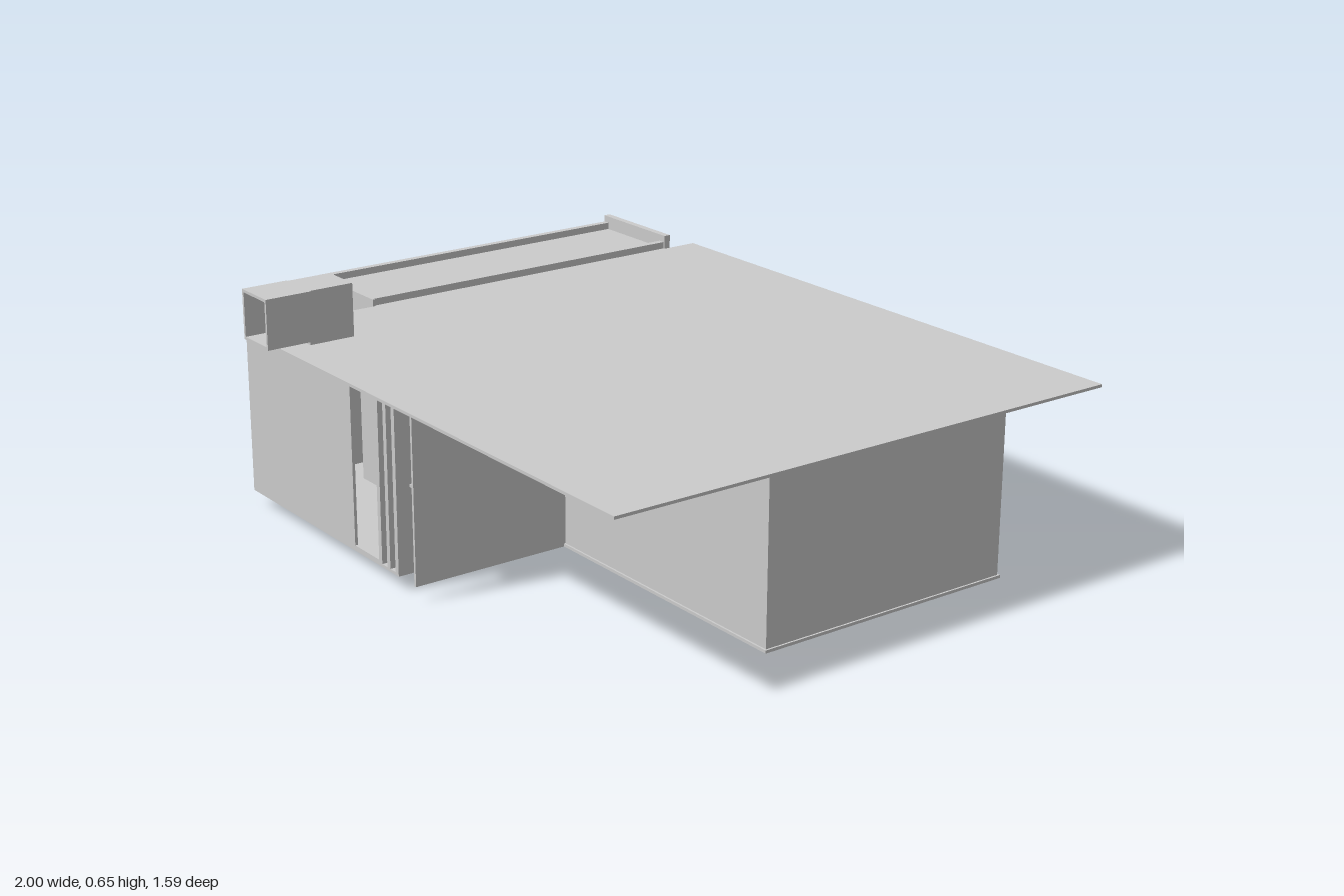
import * as THREE from 'three';

const material = new THREE.MeshStandardMaterial({ color: 0xcccccc, side: THREE.DoubleSide });
const T = 0.008; // thickness of walls and slabs

export function createModel() {
  const house = new THREE.Group();
  house.name = 'flatRoofHouse';

  // Box given by its extents on each axis
  function box(name, [x0, x1], [y0, y1], [z0, z1], parent = house) {
    const mesh = new THREE.Mesh(new THREE.BoxGeometry(x1 - x0, y1 - y0, z1 - z0), material);
    mesh.position.set((x0 + x1) / 2, (y0 + y1) / 2, (z0 + z1) / 2);
    mesh.name = name;
    parent.add(mesh);
    return mesh;
  }
  function group(name) {
    const g = new THREE.Group();
    g.name = name;
    house.add(g);
    return g;
  }

  const wallY = [0.04, 0.495];

  // Thin flat roof over everything
  box('mainRoof', [-0.69, 1], [0.5 - T, 0.5], [-0.8, 0.74]);

  // Long wing
  const wing = group('longWing');
  box('wingFloor', [-0.69, 0.075], [0.04, 0.04 + T], [-0.6, 0.74], wing);
  box('wingOuterWall', [-0.69, -0.69 + T], wallY, [-0.775, 0.74], wing);
  box('wingInnerWall', [0.075 - T, 0.075], wallY, [-0.775, 0.72], wing);
  box('wingBackWall', [-0.69, 0.075], wallY, [-0.775, -0.775 + T], wing);
  box('wingRecessWall', [-0.69, 0.075], wallY, [-0.6, -0.6 + T], wing);
  box('wingFrontWall', [-0.69, -0.14], wallY, [0.74 - T, 0.74], wing);

  // Entrance bay: glazing above a low opening, then narrow glazing between posts
  const entrance = group('entranceBay');
  box('upperGlazing', [-0.14, -0.02], [0.235, 0.495], [0.7, 0.7 + T], entrance);
  box('sideGlazing', [-0.02, 0.075], wallY, [0.71, 0.71 + T], entrance);
  box('threshold', [-0.14, -0.02], [0.04, 0.055], [0.7, 0.74], entrance);
  for (const x of [-0.02, 0.02, 0.06]) {
    box('entrancePost', [x, x + 0.015], wallY, [0.71, 0.74], entrance);
  }

  // Cross wall and the passage beside it
  box('crossWall', [0.15, 0.15 + T], wallY, [-0.775, 0.74]);
  box('passageSlab', [0.075, 0.15], [0.275, 0.275 + T], [-0.72, 0.7]);
  box('foundationStrip', [0.065, 0.073], [0, 0.05], [-0.48, 0.28]);

  // Wide wing
  const wide = group('wideWing');
  box('wideFloor', [0.06, 0.985], [0.04, 0.04 + T], [-0.485, 0.285], wide);
  box('wideFrontWall', [0.15, 0.98], wallY, [0.28 - T, 0.28], wide);
  box('wideBackWall', [0.15, 0.98], wallY, [-0.48, -0.48 + T], wide);
  box('wideEndWall', [0.98 - T, 0.98], wallY, [-0.48, 0.28], wide);

  // Raised side annex with a parapet around its roof
  const annex = group('sideAnnex');
  box('annexFloor', [-1, -0.69], [0.25, 0.25 + T], [-0.71, 0.34], annex);
  box('annexRoof', [-0.99, -0.69], [0.5 - T, 0.5], [-0.7, 0.335], annex);
  box('annexOuterWall', [-1, -0.98], [0.25, 0.52], [-0.71, 0.34], annex);
  box('annexInnerCurb', [-0.715, -0.695], [0.49, 0.52], [-0.7, 0.335], annex);
  box('annexFrontWall', [-1, -0.69], [0.25, 0.52], [0.34 - T, 0.34], annex);
  box('annexBackWall', [-1, -0.69], [0.25, 0.54], [-0.71, -0.69], annex);

  // Rooftop light box with an open hood reaching over the front edge
  const hood = group('roofHood');
  box('hoodBase', [-0.6, -0.48], [0.5, 0.65], [0.525, 0.66], hood);
  box('hoodTop', [-0.605, -0.475], [0.65 - T, 0.65], [0.655, 0.79], hood);
  box('hoodBottom', [-0.605, -0.475], [0.51, 0.51 + T], [0.655, 0.79], hood);
  for (const x of [-0.605, -0.475 - T]) {
    box('hoodSide', [x, x + T], [0.51, 0.65], [0.655, 0.79], hood);
  }

  return house;
}
